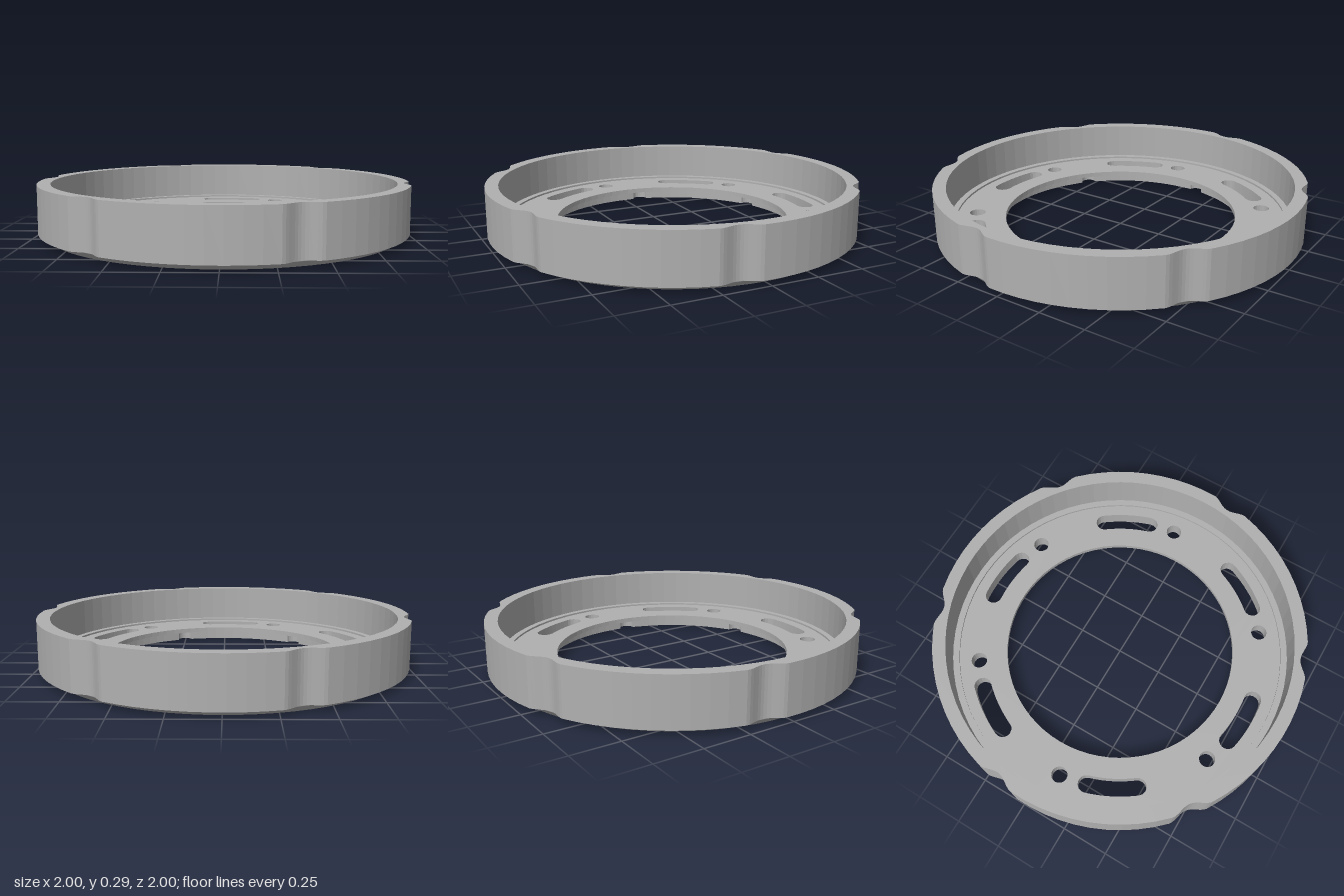
import * as THREE from 'three';

const RAD = Math.PI / 180;
const polar = (r, deg) => new THREE.Vector2(r * Math.cos(deg * RAD), r * Math.sin(deg * RAD));

const circle = (r, n = 72) => Array.from({ length: n }, (_, i) => polar(r, (i * 360) / n));

// Outline of the outer wall: full radius with six smooth scallops
function scallopedOutline() {
  const pts = [];
  const half = 6;
  for (let k = 0; k < 6; k++) {
    const c = 60 * k - 8.5;
    for (let i = -6; i <= 6; i++) {
      const t = i / 6;
      const dip = Math.pow(0.5 + 0.5 * Math.cos(Math.PI * t), 0.8);
      pts.push(polar(1 - 0.037 * dip, c + t * half));
    }
    for (let i = 1; i < 10; i++) pts.push(polar(1, c + half + (i * (60 - 2 * half)) / 10));
  }
  return pts;
}

// Counterbore outline with six round pockets
function pocketedOutline() {
  const pts = [];
  const R = 0.685, r = 0.042;
  for (let k = 0; k < 6; k++) {
    const c = 60 * k - 8.5;
    const centre = polar(R + 0.003, c);
    for (let i = -5; i <= 5; i++) pts.push(polar(r, c + i * 18).add(centre));
    for (let i = 1; i < 12; i++) pts.push(polar(R, c + 3.6 + (i * 52.8) / 12));
  }
  return pts;
}

// Curved slot with round ends
function slotOutline(mid) {
  const pts = [];
  const R = 0.788, w = 0.046, half = 9.9;
  for (let i = 0; i <= 8; i++) pts.push(polar(R + w, mid - half + (i * half) / 4));
  for (let i = 1; i < 8; i++) pts.push(polar(w, mid + half + i * 22.5).add(polar(R, mid + half)));
  for (let i = 0; i <= 8; i++) pts.push(polar(R - w, mid + half - (i * half) / 4));
  for (let i = 1; i < 8; i++) pts.push(polar(w, mid - half + 180 + i * 22.5).add(polar(R, mid - half)));
  return pts;
}

function mountingHoles() {
  const holes = [];
  for (let k = 0; k < 6; k++) {
    holes.push(slotOutline(27.4 + 60 * k));
    const c = polar(0.787, 6.5 + 60 * k);
    holes.push(circle(0.043, 20).map((p) => p.add(c)));
  }
  return holes;
}

export function createModel() {
  const group = new THREE.Group();
  group.name = 'ringHousing';
  const metal = new THREE.MeshStandardMaterial({ color: 0xb0b0b0 });
  metal.name = 'grey metal';

  // Flat plate between two heights
  function plate(name, outline, holes, y0, y1) {
    const shape = new THREE.Shape(outline);
    shape.holes = holes.map((h) => new THREE.Path(h));
    const geo = new THREE.ExtrudeGeometry(shape, { depth: y1 - y0, bevelEnabled: false });
    geo.rotateX(-Math.PI / 2).translate(0, y0, 0);
    const mesh = new THREE.Mesh(geo, metal);
    mesh.name = name;
    group.add(mesh);
  }

  plate('outerWall', scallopedOutline(), [circle(0.93)], 0.03, 0.288);
  plate('ledge', circle(0.935), [circle(0.895)], 0.08, 0.09);
  plate('floor', circle(0.935), [circle(0.63), ...mountingHoles()], 0.055, 0.08);
  plate('base', circle(0.94), [pocketedOutline(), ...mountingHoles()], 0, 0.055);

  // Chamfered lower edge
  const profile = [[0.94, 0], [0.967, 0.028], [0.967, 0.031]].map(([x, y]) => new THREE.Vector2(x, y));
  const chamfer = new THREE.Mesh(new THREE.LatheGeometry(profile, 72), metal);
  chamfer.name = 'bottomChamfer';
  group.add(chamfer);

  return group;
}
